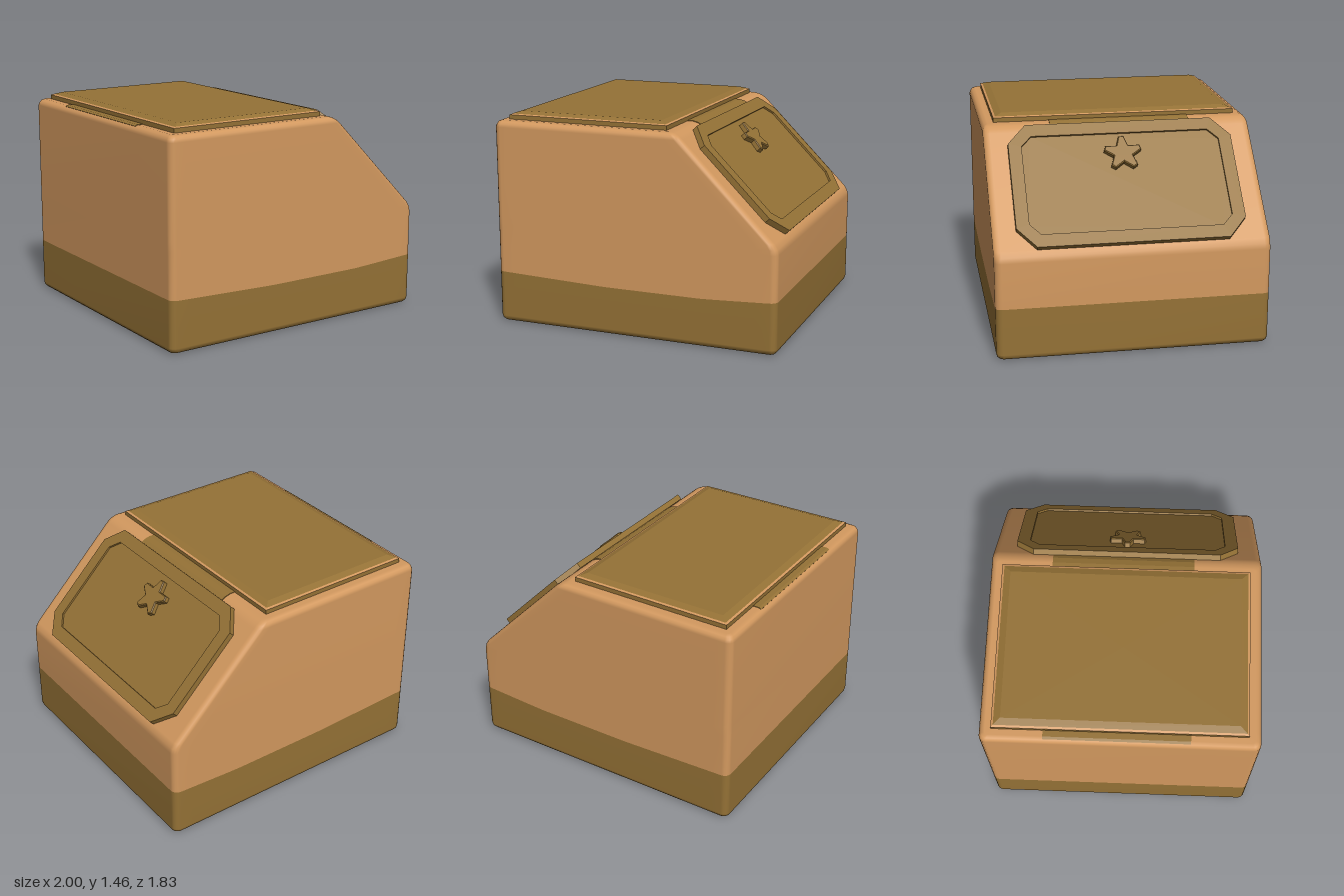
import * as THREE from 'three';

const tan = new THREE.MeshStandardMaterial({ color: 0xd3995f, side: THREE.DoubleSide });
tan.name = 'tan';
const brown = new THREE.MeshStandardMaterial({ color: 0x957236, side: THREE.DoubleSide });
brown.name = 'brown';

// Skin a stack of closed rings (bottom to top), optionally closing the top
function loft(rings, { cap = false, flat = false } = {}) {
  const n = rings[0].length, pos = rings.flat(2), idx = [];
  for (let r = 0; r < rings.length - 1; r++) {
    for (let i = 0; i < n; i++) {
      const j = (i + 1) % n, a = r * n + i, c = r * n + j;
      idx.push(a, a + n, c, c, a + n, c + n);
    }
  }
  if (cap) {
    const top = rings[rings.length - 1], base = (rings.length - 1) * n;
    const xs = top.map(p => p[0]);
    pos.push((Math.min(...xs) + Math.max(...xs)) / 2, top[0][1], 0);
    for (let i = 0; i < n; i++) idx.push(rings.length * n, base + (i + 1) % n, base + i);
  }
  let g = new THREE.BufferGeometry();
  g.setAttribute('position', new THREE.Float32BufferAttribute(pos, 3));
  g.setIndex(idx);
  if (flat) g = g.toNonIndexed();
  g.computeVertexNormals();
  return g;
}

// Rounded rectangle at height y (a number or a function of x)
function bodyRing(y, xMax, inset) {
  const r = 0.045 - inset * 0.6, x0 = -1 + inset, z1 = 0.915 - inset;
  const pts = [], put = (x, z) => pts.push([x, typeof y === 'function' ? y(x) : y, z]);
  const corner = (cx, cz, start) => {
    for (let k = 0; k <= 4; k++) {
      const a = start + k * Math.PI / 8;
      put(cx + r * Math.cos(a), cz + r * Math.sin(a));
    }
  };
  const side = (from, to, z) => {
    for (let k = 1; k < 20; k++) put(from + (to - from) * k / 20, z);
  };
  const L = x0 + r, R = xMax - r, Z = z1 - r;
  corner(R, Z, 0);
  side(R, L, z1);
  corner(L, Z, Math.PI / 2);
  corner(L, -Z, Math.PI);
  side(L, R, -z1);
  corner(R, -Z, Math.PI * 1.5);
  return pts;
}

// Rectangle with cut corners
function octagon(target, w, h, cutW, cutH) {
  const p = [[w, h - cutH], [w - cutW, h], [cutW - w, h], [-w, h - cutH],
    [-w, cutH - h], [cutW - w, -h], [w - cutW, -h], [w, cutH - h]];
  return target.setFromPoints(p.map(([x, y]) => new THREE.Vector2(x, y)));
}

function add(parent, name, geometry, material) {
  const m = new THREE.Mesh(geometry, material);
  m.name = name;
  parent.add(m);
  return m;
}

export function createModel() {
  const model = new THREE.Group();
  model.name = 'storageBin';

  // Body shell, open underneath, with a gently dipping painted base
  const seam = x => 0.333 + 0.026 * Math.max(0, (-0.2 - x) / 0.8, (x - 0.5) / 0.5);
  const foot = [0, 1, 2, 3].map(k => {
    const a = k * Math.PI / 6, inset = 0.04 * (1 - Math.sin(a));
    return bodyRing(0.04 * (1 - Math.cos(a)), 1 - inset, inset);
  });
  add(model, 'baseBand', loft([...foot, bodyRing(seam, 1, 0)]), brown);
  const levels = [[0.67, 1, 0], [0.705, 0.992, 0], [0.74, 0.97, 0], [1.365, 0.345, 0],
    [1.385, 0.32, 0.007], [1.4, 0.292, 0.018], [1.41, 0.255, 0.04]];
  add(model, 'body', loft([bodyRing(seam, 1, 0), ...levels.map(l => bodyRing(...l))], { cap: true }), tan);

  // Lid on the flat top: upright rim, thin tan edge, bevelled panel
  const lidRing = (y, i) => [[0.22 - i, y, 0.835 - i], [-0.92 + i, y, 0.835 - i],
    [-0.92 + i, y, -0.835 + i], [0.22 - i, y, -0.835 + i]];
  add(model, 'lidRim', loft([lidRing(1.405, 0), lidRing(1.44, 0)], { flat: true }), brown);
  add(model, 'lidEdge', loft([lidRing(1.44, 0), lidRing(1.446, 0.015)], { flat: true }), tan);
  add(model, 'lidPanel', loft([lidRing(1.446, 0.015), lidRing(1.462, 0.06)], { cap: true, flat: true }), brown);

  // Painted strips beside the lid, following the curve of the body
  const strip = (name, points) => {
    const s = new THREE.Shape(points.map(([x, y]) => new THREE.Vector2(x, y)));
    const g = new THREE.ExtrudeGeometry(s, { depth: 0.96, bevelEnabled: false });
    add(model, name, g.translate(0, 0, -0.5), brown);
  };
  strip('frontStrip', [[0.2, 1.408], [0.255, 1.408], [0.292, 1.398], [0.34, 1.368],
    [0.346, 1.374], [0.296, 1.404], [0.257, 1.414], [0.2, 1.414]]);
  strip('backStrip', [[-0.9, 1.408], [-0.9, 1.414], [-0.962, 1.414], [-0.978, 1.405], [-0.975, 1.399], [-0.96, 1.408]]);

  // Door on the slope: local z points out of the slope, local y up it
  const door = new THREE.Group();
  door.name = 'door';
  const s = Math.SQRT1_2;
  door.setRotationFromMatrix(new THREE.Matrix4().makeBasis(
    new THREE.Vector3(0, 0, -1), new THREE.Vector3(-s, s, 0), new THREE.Vector3(s, s, 0)));
  door.position.set(0.645, 1.065, 0);
  model.add(door);

  const frame = octagon(new THREE.Shape(), 0.76, 0.455, 0.125, 0.14);
  frame.holes.push(octagon(new THREE.Path(), 0.672, 0.365, 0.07, 0.075));
  add(door, 'doorFrame', new THREE.ExtrudeGeometry(frame, { depth: 0.04, bevelEnabled: false }), brown);
  const panel = octagon(new THREE.Shape(), 0.68, 0.372, 0.07, 0.075);
  add(door, 'doorPanel', new THREE.ExtrudeGeometry(panel, { depth: 0.026, bevelEnabled: false }), brown);

  // Star knob with blunt tips
  const pts = [];
  for (let k = 0; k < 5; k++) {
    const a = Math.PI / 2 + k * Math.PI * 0.4;
    for (const [da, r] of [[-0.14, 0.128], [0.14, 0.128], [Math.PI / 5, 0.068]]) {
      pts.push(new THREE.Vector2(r * Math.cos(a + da), r * Math.sin(a + da)));
    }
  }
  const star = add(door, 'starKnob', new THREE.ExtrudeGeometry(new THREE.Shape(pts), {
    depth: 0.032, bevelThickness: 0.006, bevelSize: 0.006, bevelOffset: -0.006, bevelSegments: 1,
  }), brown);
  star.position.set(0, 0.2, 0.024);

  return model;
}
